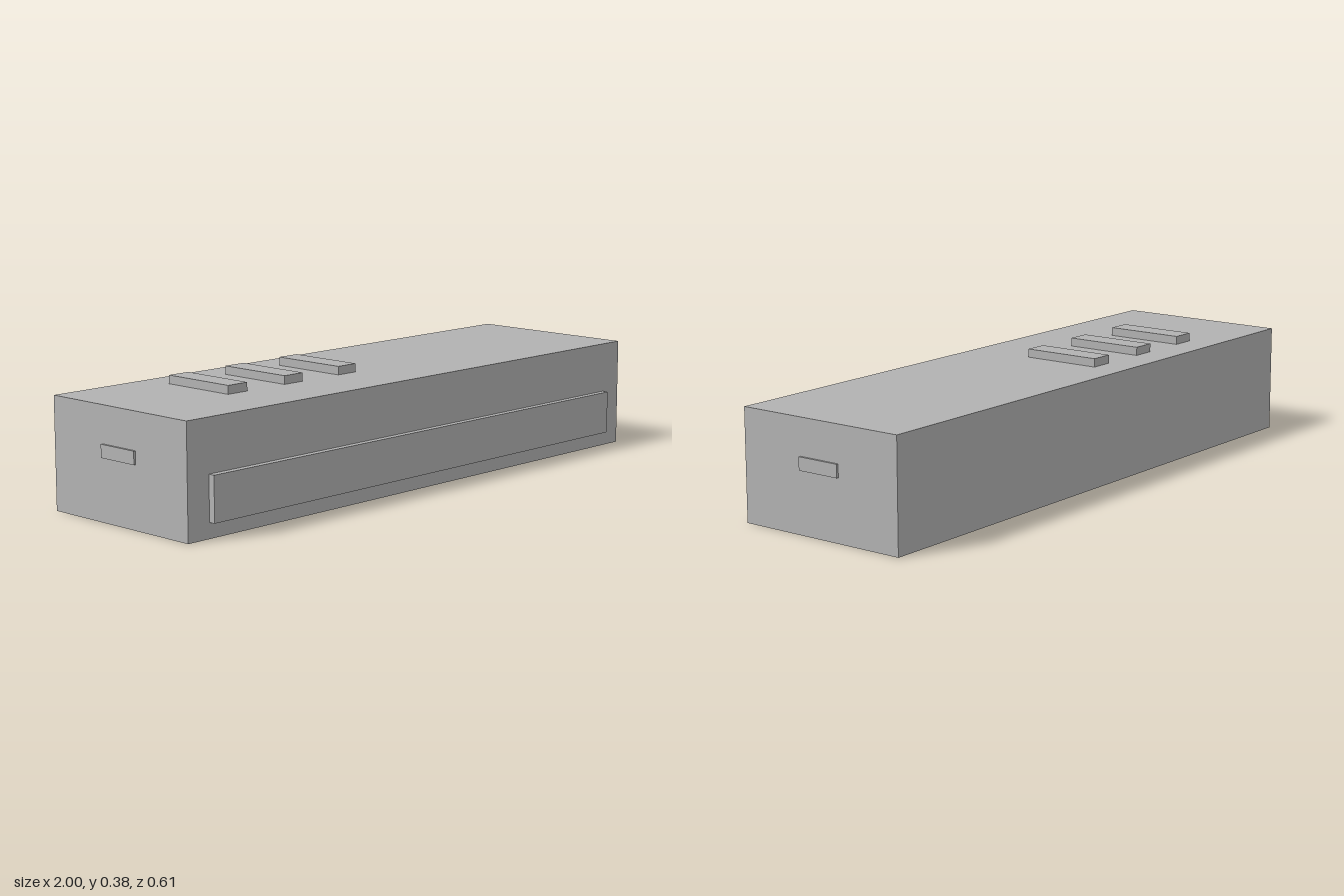
import * as THREE from 'three';

const grey = new THREE.MeshStandardMaterial({ color: 0xb2b2b2 });
grey.name = 'grey';

// Box given by its extents along each axis
function block(name, [x0, x1], [y0, y1], [z0, z1]) {
  const mesh = new THREE.Mesh(new THREE.BoxGeometry(x1 - x0, y1 - y0, z1 - z0), grey);
  mesh.position.set((x0 + x1) / 2, (y0 + y1) / 2, (z0 + z1) / 2);
  mesh.name = name;
  return mesh;
}

export function createModel() {
  const model = new THREE.Group();
  model.name = 'boxUnit';
  const halfLength = 0.993, height = 0.352, back = -0.303, front = 0.282;

  // Main housing
  model.add(block('body', [-halfLength, halfLength], [0, height], [back, front]));

  // Raised panel on the front
  model.add(block('frontPanel', [-0.911, 0.911], [0.048, 0.188], [front, 0.303]));

  // Three raised bars on the top
  [-0.591, -0.357, -0.122].forEach((x, i) => {
    model.add(block(`topBar${i + 1}`, [x - 0.039, x + 0.039], [height, 0.379], [-0.2, 0.063]));
  });

  // Small tab on each end
  model.add(block('leftTab', [halfLength, 1], [0.195, 0.236], [-0.083, 0.063]));
  model.add(block('rightTab', [-1, -halfLength], [0.195, 0.236], [-0.083, 0.063]));

  return model;
}
